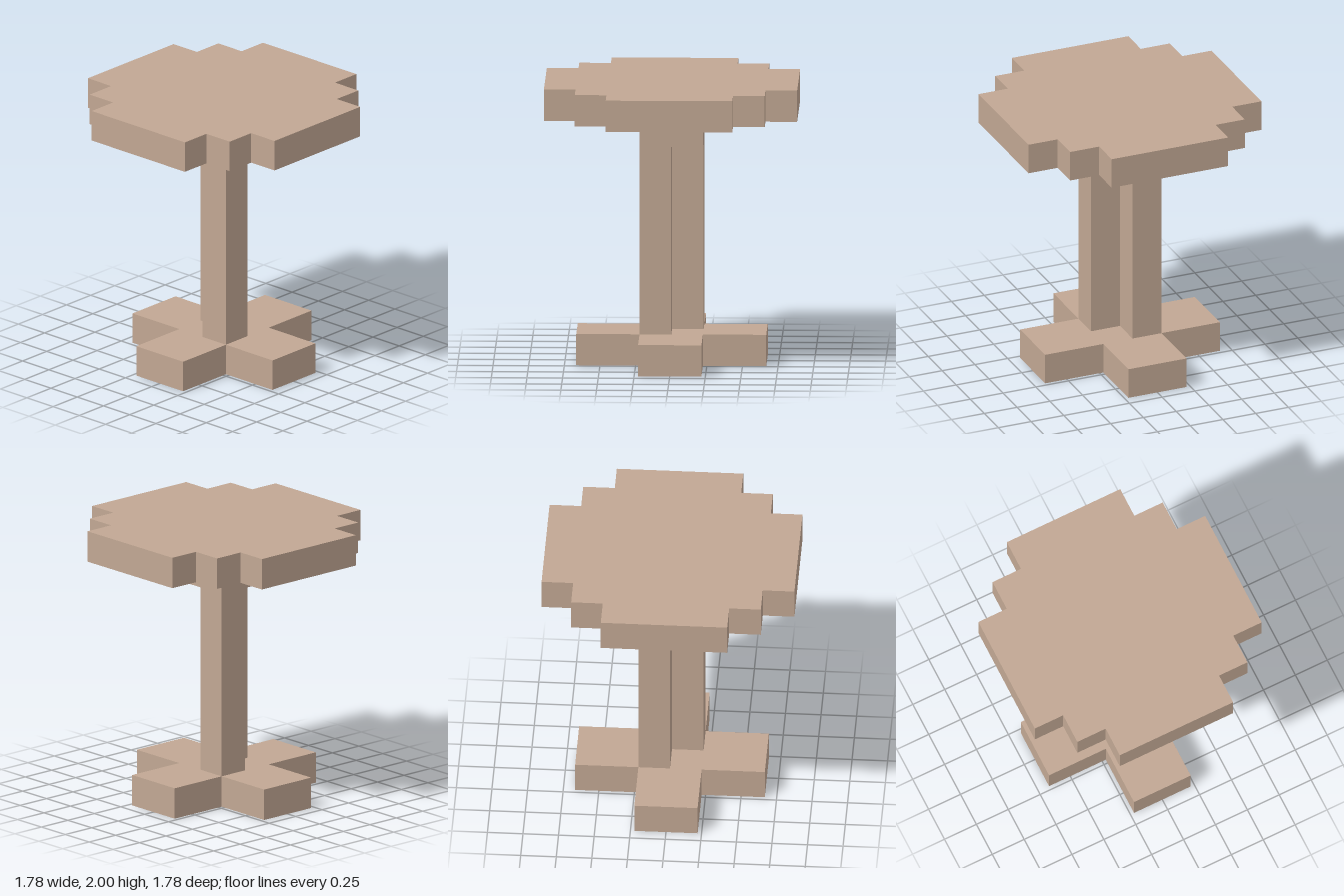
import * as THREE from 'three';

const U = 2 / 9; // one block unit

export function createModel() {
  const wood = new THREE.MeshStandardMaterial({ color: 0xc1a793 });
  wood.name = 'tan wood';
  const model = new THREE.Group();
  model.name = 'pedestalTable';

  const add = (name, geometry, x, y, z) => {
    const mesh = new THREE.Mesh(geometry, wood);
    mesh.name = name;
    mesh.position.set(x * U, y * U, z * U);
    model.add(mesh);
  };

  // One-unit-thick slab: a quarter outline turned through four quadrants
  const steppedSlab = (quarter) => {
    const points = [];
    for (let q = 0; q < 4; q++) {
      for (const [x, y] of quarter) {
        points.push(new THREE.Vector2(x * U, y * U));
      }
      quarter = quarter.map(([x, y]) => [-y, x]);
    }
    return new THREE.ExtrudeGeometry(new THREE.Shape(points), { depth: U, bevelEnabled: false })
      .rotateX(-Math.PI / 2);
  };

  // Cross-shaped foot and stepped round top
  add('crossFoot', steppedSlab([[3, -1], [3, 1], [1, 1]]), 0, 0, 0);
  add('tableTop', steppedSlab([[4, -2], [4, 2], [3, 2], [3, 3], [2, 3]]), 0, 8, 0);

  // Two diagonal posts, and short brackets filling the other corners under the top
  for (const s of [1, -1]) {
    add('post', new THREE.BoxGeometry(U, 7 * U, U), s * 0.5, 4.5, -s * 0.5);
    add('bracket', new THREE.BoxGeometry(U, U, U), s * 0.5, 7.5, s * 0.5);
  }
  return model;
}
